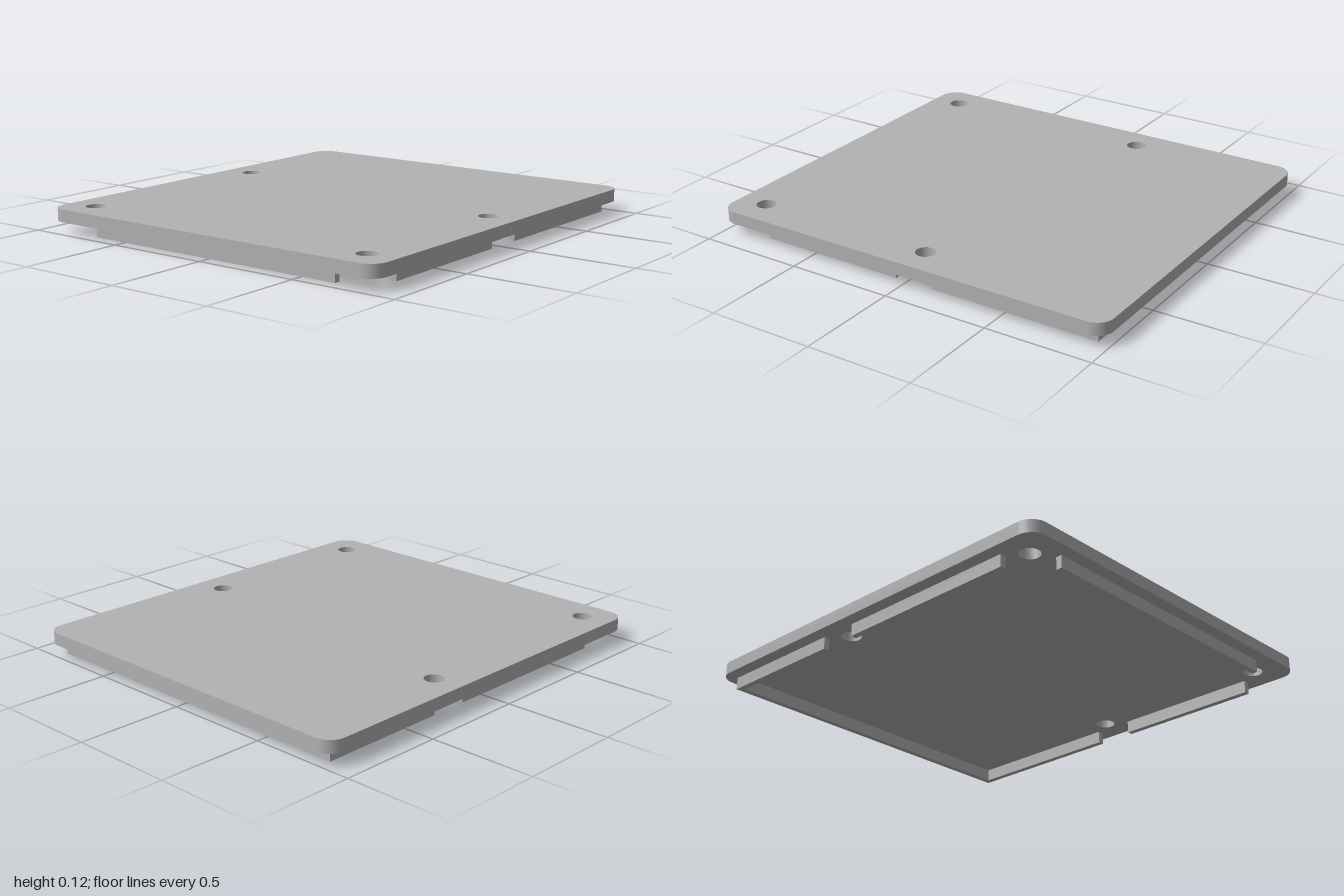
import * as THREE from 'three';

export function createModel() {
  const group = new THREE.Group();
  const grey = new THREE.MeshStandardMaterial({ color: 0xb2b2b2 });
  grey.name = 'grey plastic';

  const W = 0.91, L = 1, R = 0.08;      // plate half sizes and corner radius
  const TOP = 0.117, UNDER = 0.058;     // plate top and underside heights

  // Rounded plate with four screw holes
  const outline = new THREE.Shape();
  outline.absarc(W - R, L - R, R, 0, Math.PI / 2);
  outline.absarc(-W + R, L - R, R, Math.PI / 2, Math.PI);
  outline.absarc(-W + R, -L + R, R, Math.PI, Math.PI * 1.5);
  outline.absarc(W - R, -L + R, R, Math.PI * 1.5, Math.PI * 2);
  outline.closePath();
  for (const [x, z] of [[-0.768, -0.222], [0.763, -0.04], [-0.768, 0.855], [0.763, 0.855]]) {
    const hole = new THREE.Path();
    hole.absarc(x, z, 0.046, 0, Math.PI * 2, true);
    outline.holes.push(hole);
  }
  const plateGeometry = new THREE.ExtrudeGeometry(outline, {
    depth: TOP - UNDER, bevelEnabled: false, curveSegments: 16,
  });
  plateGeometry.rotateX(Math.PI / 2).translate(0, TOP, 0);
  const plate = new THREE.Mesh(plateGeometry, grey);
  plate.name = 'coverPlate';
  group.add(plate);

  // Locating ribs under the plate, interrupted around the holes
  function rib(name, x0, x1, z0, z1) {
    const mesh = new THREE.Mesh(new THREE.BoxGeometry(x1 - x0, UNDER, z1 - z0), grey);
    mesh.position.set((x0 + x1) / 2, UNDER / 2, (z0 + z1) / 2);
    mesh.name = name;
    group.add(mesh);
  }
  rib('frontRib', -0.675, 0.67, 0.912, 0.94);
  rib('backRib', -0.848, 0.845, -0.94, -0.912);
  rib('leftFrontRib', 0.817, 0.845, 0.06, 0.77);
  rib('leftBackRib', 0.817, 0.845, -0.912, -0.128);
  rib('rightFrontRib', -0.848, -0.82, -0.128, 0.77);
  rib('rightBackRib', -0.848, -0.82, -0.912, -0.31);

  return group;
}
